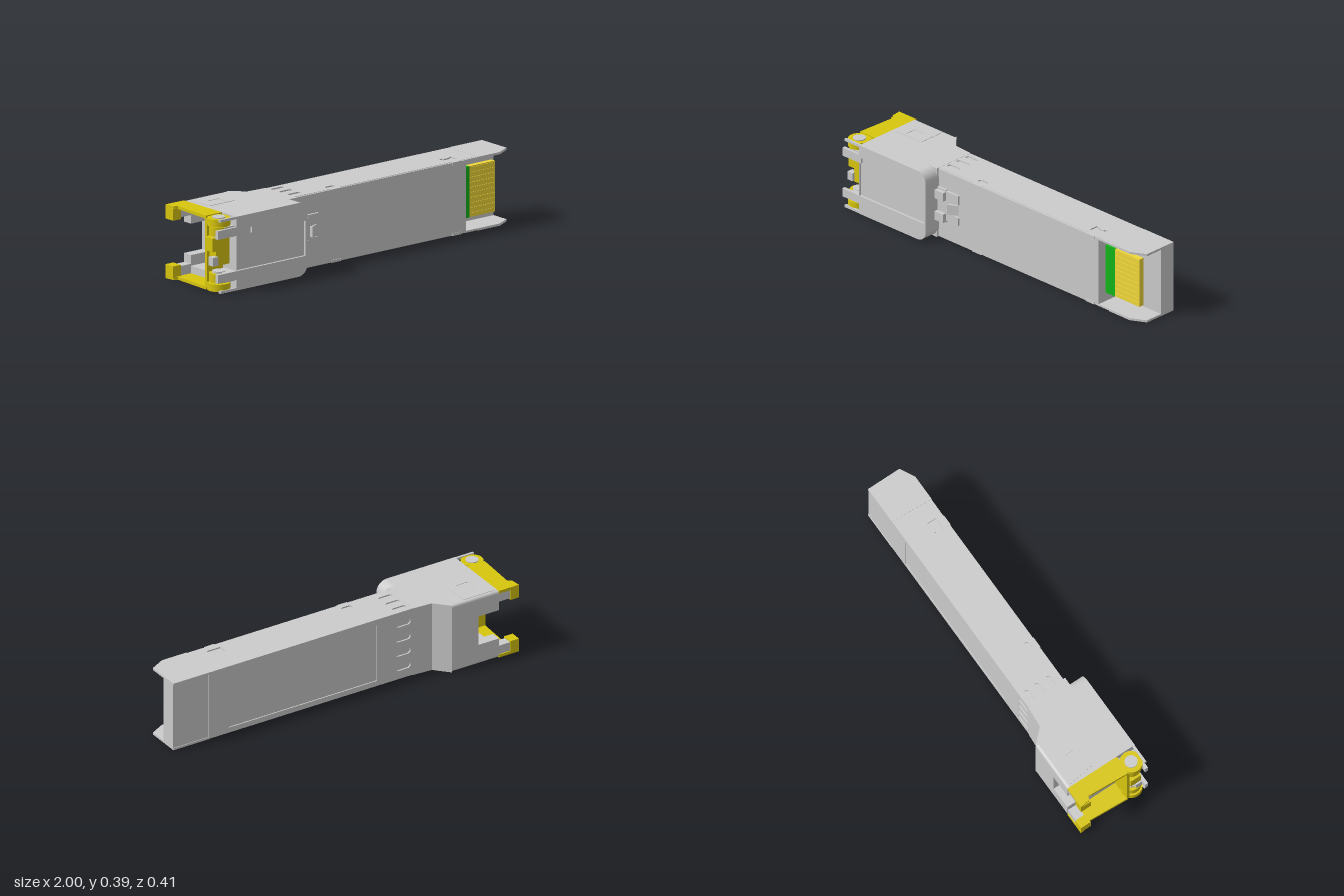
import * as THREE from 'three';

const mat = (color) => new THREE.MeshStandardMaterial({ color });

export function createModel() {
  const model = new THREE.Group();
  const grey = mat(0xcccccc), yellow = mat(0xd8c60e), gold = mat(0xf2d83a), green = mat(0x12b41a);
  const H = 0.383, MID = H / 2;

  const add = (name, geometry, material = grey) => {
    const mesh = new THREE.Mesh(geometry, material);
    mesh.name = name;
    model.add(mesh);
    return mesh;
  };
  // box given by its two limits on each axis
  const box = (name, x0, x1, y0, y1, z0, z1, material) => {
    const g = new THREE.BoxGeometry(x1 - x0, y1 - y0, z1 - z0);
    g.translate((x0 + x1) / 2, (y0 + y1) / 2, (z0 + z1) / 2);
    return add(name, g, material);
  };
  const bothSides = (fn) => [false, true].forEach((low) =>
    fn((a, b) => (low ? [H - b, H - a] : [a, b])));
  const poly = (pts) => new THREE.Shape(pts.map(([a, b]) => new THREE.Vector2(a, b)));
  const rect = (a0, a1, b0, b1) => poly([[a0, b0], [a1, b0], [a1, b1], [a0, b1]]);
  // slot with round ends, lying along the first axis
  const slot = (a0, a1, b, r) => {
    const s = new THREE.Shape();
    s.absarc(a1 - r, b, r, -Math.PI / 2, Math.PI / 2);
    s.absarc(a0 + r, b, r, Math.PI / 2, Math.PI * 1.5);
    return s;
  };
  const extrude = (shape, depth, holes = []) => {
    shape.holes.push(...holes);
    return new THREE.ExtrudeGeometry(shape, { depth, bevelEnabled: false, curveSegments: 8 });
  };
  // extrusions along y (shape in x, -z), along z (shape in x, y) and along x (shape in -z, y)
  const alongY = (shape, y0, y1, holes) =>
    extrude(shape, y1 - y0, holes).rotateX(-Math.PI / 2).translate(0, y0, 0);
  const alongZ = (shape, z0, z1, holes) => extrude(shape, z1 - z0, holes).translate(0, 0, z0);
  const alongX = (shape, x0, x1, holes) =>
    extrude(shape, x1 - x0, holes).rotateY(Math.PI / 2).translate(x0, 0, 0);

  // long body: core, front cover, and skins with vent slots and clip windows
  box('bodyCore', -0.42, 0.7, 0.008, 0.375, -0.112, 0.1);
  box('bodyFrontCover', -0.42, 0.7, 0.003, 0.38, 0.1, 0.11);
  bothSides((m) => {
    const vents = [-0.08, -0.017, 0.05].map((z) => slot(-0.41, -0.33, -z, 0.013));
    const clipA = slot(-0.18, -0.12, -0.065, 0.013);
    const clipB = poly([[0.6, -0.02], [0.62, -0.02], [0.62, -0.03], [0.66, -0.03],
      [0.66, -0.02], [0.68, -0.02], [0.68, -0.07], [0.6, -0.07]]);
    const outline = poly([[-0.42, -0.1], [0.775, -0.1], [0.79, 0.12], [-0.42, 0.12]]);
    const [a, b] = m(0.373, 0.382);
    add('bodySideSkin', alongY(outline, a, b, [...vents, clipA, clipB]));
    for (const x of [-0.15, 0.64]) box('coverTab', x - 0.03, x + 0.03, ...m(0.368, 0.382), 0.1, 0.113);
  });
  const backVents = [0.065, 0.148, 0.23, 0.315].map((y) => slot(-0.41, -0.32, y, 0.017));
  add('bodyBackSkin', alongZ(rect(-0.42, 0.79, 0.002, 0.381), -0.12, -0.112,
    [...backVents, rect(-0.21, 0.67, 0.03, 0.35)]));
  box('labelPanel', -0.208, 0.668, 0.032, 0.348, -0.117, -0.11);

  // open end cap: thick floor and two chamfered walls
  box('capFloor', 0.7, 1, 0.002, 0.381, -0.118, -0.03);
  bothSides((m) => add('capWall', alongY(
    poly([[0.775, -0.112], [0.92, -0.112], [1, -0.07], [1, 0.121], [0.79, 0.121]]), ...m(0.371, H))));
  bothSides((m) => box('capInnerWall', 0.69, 0.79, ...m(0.371, 0.381), -0.03, 0.11));

  // circuit board with contact fingers
  box('circuitBoard', 0.69, 0.765, 0.06, 0.325, 0.03, 0.06, green);
  box('contactPad', 0.765, 0.935, 0.06, 0.325, 0.03, 0.058, gold);
  for (let i = 0; i < 10; i++) {
    const y = 0.074 + i * 0.0263;
    box('contactFinger', 0.77, 0.93, y - 0.009, y + 0.009, 0.057, 0.061, gold);
  }

  // socket housing: rounded cross-section with the plug opening
  const section = (notched) => {
    const s = new THREE.Shape(), r = 0.018, b = 0.205;
    s.moveTo(-0.12, 0);
    s.lineTo(b - r, 0);
    s.quadraticCurveTo(b, 0, b, r);
    if (notched) {
      [[b, 0.11], [0.15, 0.11], [0.15, 0.055], [-0.08, 0.055], [-0.08, 0.328],
        [0.15, 0.328], [0.15, 0.273], [b, 0.273]].forEach(([u, v]) => s.lineTo(u, v));
    }
    s.lineTo(b, H - r);
    s.quadraticCurveTo(b, H, b - r, H);
    s.lineTo(-0.12, H);
    return s;
  };
  add('socketMouth', alongX(section(true), -0.88, -0.76));
  add('socketHousing', alongX(section(false), -0.76, -0.6, [rect(-0.08, 0.15, 0.055, 0.328)]));
  add('housingShoulder', alongY(
    poly([[-0.6, -0.12], [-0.42, -0.12], [-0.42, 0.122], [-0.53, 0.13], [-0.6, 0.205]]), 0, H));
  for (let i = 0; i < 8; i++) {
    const y = 0.1 + i * 0.026;
    const wire = new THREE.LineCurve3(new THREE.Vector3(-0.84, y, 0.07), new THREE.Vector3(-0.6, y, -0.02));
    add('socketWire', new THREE.TubeGeometry(wire, 1, 0.005, 6), gold);
  }

  // retaining clip on each side of the housing
  bothSides((m) => add('housingClip', alongY(
    poly([[-0.87, 0.187], [-0.68, 0.187], [-0.68, 0.05], [-0.69, 0.035], [-0.85, 0.035]]),
    ...m(H - 0.002, H + 0.002), [rect(-0.8, -0.73, 0.045, 0.115)])));

  // raised front block with rounded corners, a shallow channel and a latch pocket
  const frontOutline = (x0) => {
    const s = new THREE.Shape(), r = 0.06, x1 = -0.415;
    s.moveTo(x0, 0);
    s.lineTo(x1 - r, 0);
    s.absarc(x1 - r, r, r, -Math.PI / 2, 0);
    s.absarc(x1 - r, H - r, r, 0, Math.PI / 2);
    s.lineTo(x0, H);
    return s;
  };
  add('frontBlock', alongZ(frontOutline(-0.88), 0.145, 0.193));
  const lower = frontOutline(-0.88);
  add('frontBlockBase', alongZ(lower, 0.11, 0.145, [rect(-0.6, -0.417, 0.105, 0.285)]));
  bothSides((m) => {
    const [a, b] = m(0.283, 0.32);
    box('frontRail', -0.78, -0.43, a, b, 0.19, 0.205);
    box('frontFinger', -1, -0.87, ...m(0.283, 0.328), 0.185, 0.203);
    box('frontEdge', -0.985, -0.87, ...m(0.37, H), 0.19, 0.203);
  });
  const railTop = frontOutline(-0.88);
  add('frontFace', alongZ(railTop, 0.193, 0.205, [poly([[-0.879, 0.101], [-0.43, 0.101],
    [-0.43, 0.29], [-0.77, 0.29], [-0.77, 0.315], [-0.879, 0.315]])]));

  // spring latch beyond the front block
  add('latchPlate', alongZ(poly([[-0.43, 0.105], [-0.355, 0.105], [-0.355, 0.115], [-0.27, 0.115],
    [-0.27, 0.155], [-0.32, 0.165], [-0.32, 0.22], [-0.27, 0.23], [-0.27, 0.28], [-0.355, 0.28],
    [-0.355, 0.285], [-0.43, 0.285]]), 0.11, 0.122));
  bothSides((m) => box('latchArm', -0.42, -0.355, ...m(0.228, 0.275), 0.12, 0.143));
  add('latchHook', alongY(poly([[-0.33, -0.11], [-0.33, -0.14], [-0.275, -0.112]]), 0.165, 0.22));

  // swinging bail: two arms, hooked ends, pivots and a cross panel
  bothSides((m) => {
    add('bailArm', alongY(poly([[-0.88, 0.205], [-1, 0.205], [-0.993, 0.15], [-0.972, 0.14],
      [-0.985, -0.09], [-0.88, -0.09]]), ...m(0.367, H), []), yellow);
    box('bailHook', -1, -0.95, ...m(0.31, 0.37), -0.205, -0.145, yellow);
    box('bailHookFill', -0.95, -0.88, ...m(0.318, 0.368), -0.2, -0.15);
    const disc = (name, r, y0, y1, material) => {
      const [a, b] = m(y0, y1);
      add(name, new THREE.CylinderGeometry(r, r, b - a, 28).translate(-0.942, (a + b) / 2, 0.14), material);
    };
    disc('bailPivot', 0.058, 0.34, 0.378, yellow);
    disc('bailPivotCollar', 0.05, 0.29, 0.335, yellow);
    disc('pivotPin', 0.033, 0.28, H);
    box('pivotEar', -0.95, -0.87, ...m(0.283, 0.335), 0.11, 0.19);
  });
  box('bailCrossPanel', -0.985, -0.88, 0.012, 0.37, 0.085, 0.1, yellow);
  box('bailTongue', -1, -0.89, 0.21, 0.28, 0.1, 0.16, yellow);
  box('bailTongueStep', -0.97, -0.88, 0.13, 0.215, 0.1, 0.15, yellow);
  box('tongueStop', -1, -0.965, MID - 0.055, MID - 0.01, 0.13, 0.165);
  return model;
}
